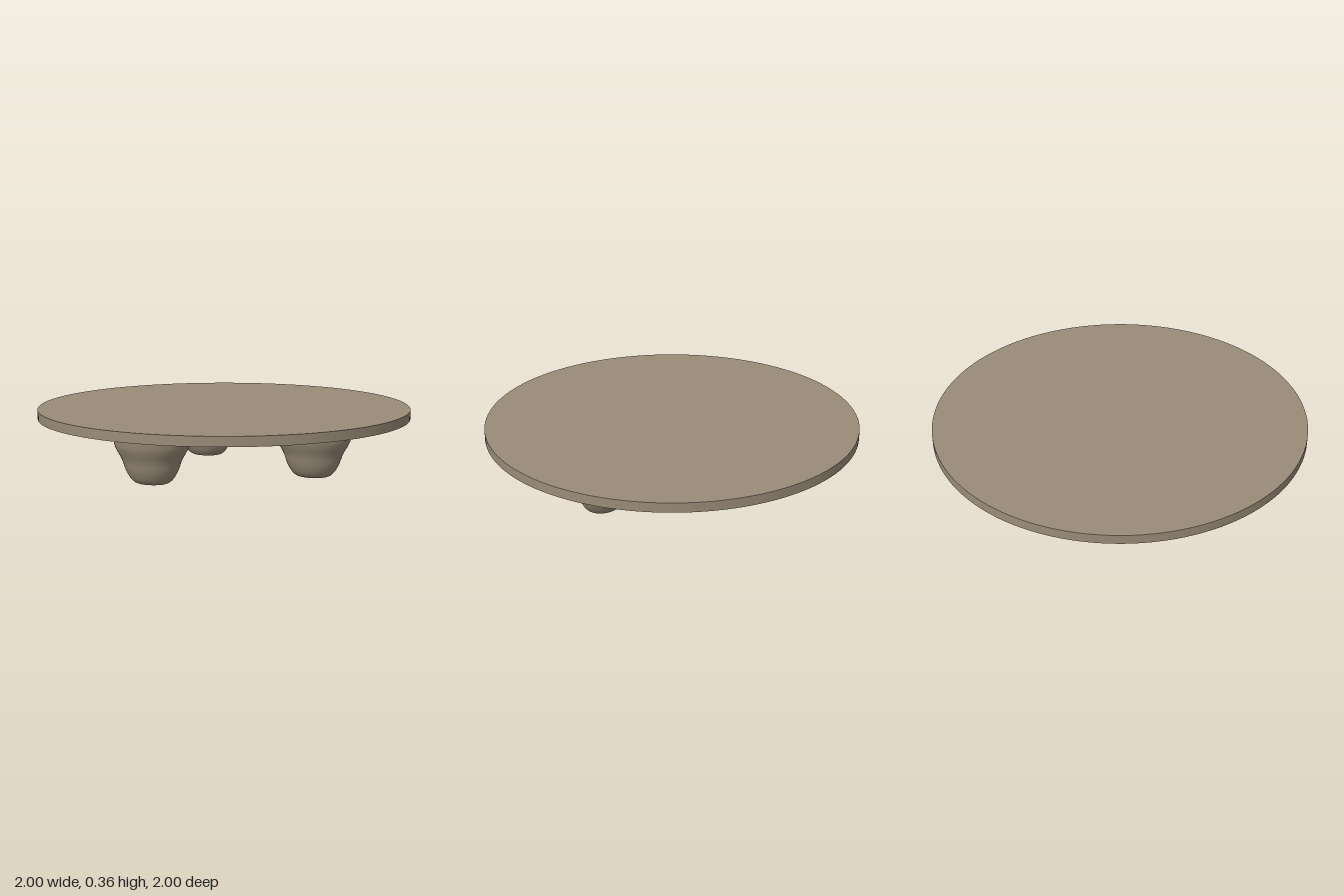
import * as THREE from 'three';

export function createModel() {
  const group = new THREE.Group();
  const stone = new THREE.MeshStandardMaterial({ color: 0x9a8c78 });
  stone.name = 'warm taupe';

  // Thin round top floating just above the feet
  const top = new THREE.Mesh(new THREE.CylinderGeometry(1, 1, 0.05, 128), stone);
  top.name = 'tableTop';
  top.position.y = 0.34;
  group.add(top);

  // Smooth tapered foot: half width along x against height
  const outline = new THREE.SplineCurve([
    [0, 0.003], [0.06, 0.004], [0.09, 0.011], [0.115, 0.032], [0.14, 0.075], [0.16, 0.13],
    [0.188, 0.18], [0.2, 0.212], [0.205, 0.25], [0.192, 0.265], [0.15, 0.271], [0, 0.274],
  ].map(([r, y]) => new THREE.Vector2(r, y)));
  const profile = outline.getPoints(44);
  profile.forEach((p) => { p.x = Math.max(0, p.x); });
  const footGeometry = new THREE.LatheGeometry(profile, 48);
  footGeometry.scale(1, 1, 0.77); // oval plan

  // Three feet evenly spaced on a circle, all facing the same way
  for (let i = 0; i < 3; i++) {
    const angle = (i * Math.PI * 2) / 3;
    const foot = new THREE.Mesh(footGeometry, stone);
    foot.name = `foot${i + 1}`;
    foot.position.set(0.5 * Math.cos(angle), 0, 0.5 * Math.sin(angle));
    group.add(foot);
  }
  return group;
}
